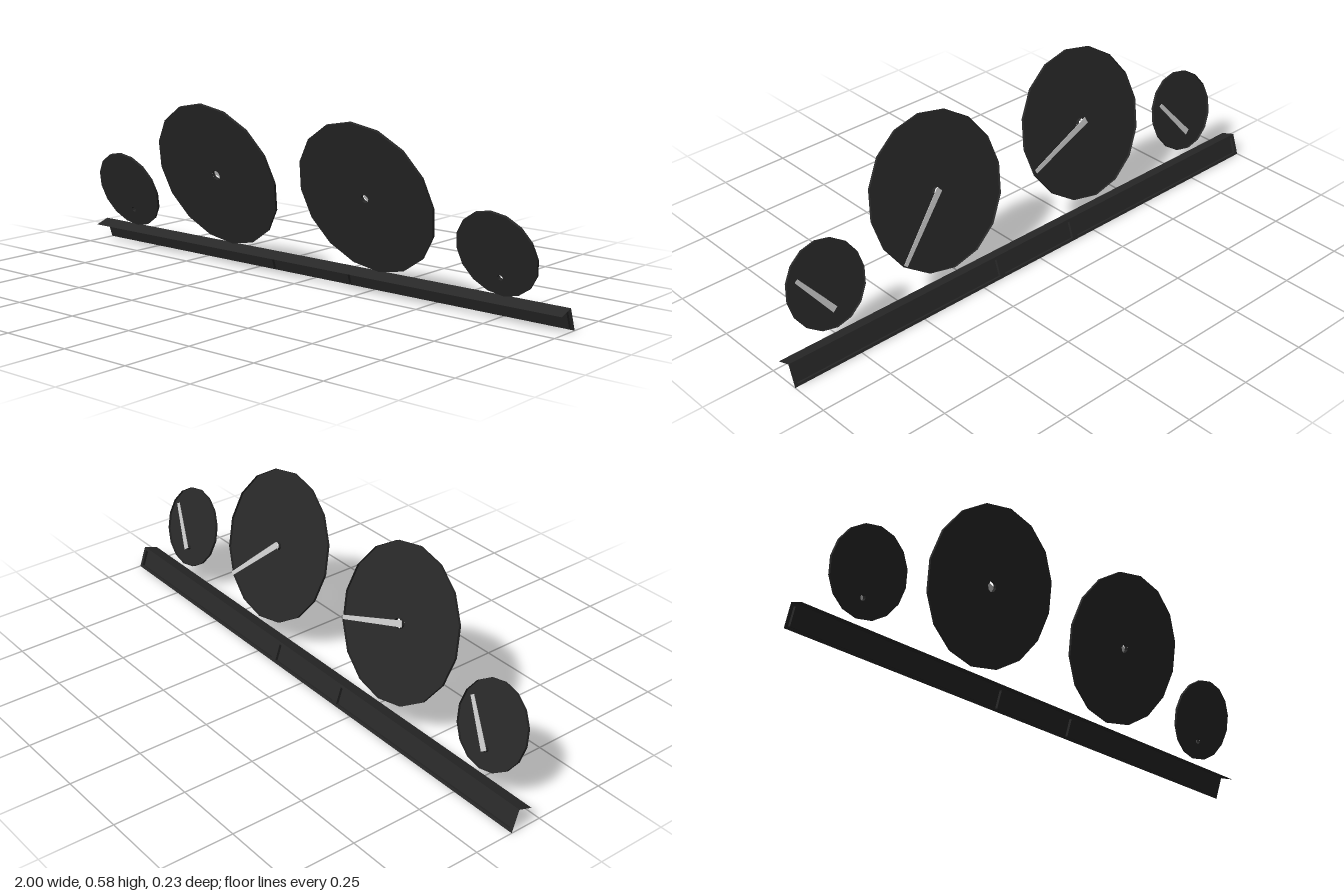
import * as THREE from 'three';

const darkPlastic = new THREE.MeshStandardMaterial({ color: 0x282828, side: THREE.DoubleSide, flatShading: true });
const paleNeedle = new THREE.MeshStandardMaterial({ color: 0xc8c8c8, side: THREE.DoubleSide, flatShading: true });

function add(parent, name, geometry, material = darkPlastic) {
  const mesh = new THREE.Mesh(geometry, material);
  mesh.name = name;
  parent.add(mesh);
  return mesh;
}

function ngon(radius, sides) {
  return Array.from({ length: sides }, (_, i) => {
    const a = (i / sides) * Math.PI * 2;
    return new THREE.Vector2(Math.cos(a) * radius, Math.sin(a) * radius);
  });
}

function rectangle(path, x0, y0, x1, y1) {
  path.moveTo(x0, y0);
  path.lineTo(x1, y0);
  path.lineTo(x1, y1);
  path.lineTo(x0, y1);
  path.closePath();
  return path;
}

// Shallow dish, open towards the back, with a hollow hub and a needle
function gauge({ name, x, y, z, radius, pivot, hole, needle, tail }) {
  const group = new THREE.Group();
  group.name = name;
  group.position.set(x, y, z);
  group.rotation.x = THREE.MathUtils.degToRad(17.6);
  const half = 0.0045;

  const face = new THREE.Shape(ngon(radius, 16));
  face.holes.push(new THREE.Path(ngon(hole, 8).map(p => p.add(new THREE.Vector2(0, pivot)))));
  add(group, 'dialFace', new THREE.ShapeGeometry(face)).position.z = half;

  const rim = new THREE.CylinderGeometry(radius, radius, half * 2, 16, 1, true);
  add(group, 'dialRim', rim.rotateX(Math.PI / 2));

  const hub = new THREE.CylinderGeometry(hole, hole, 0.0125, 8, 1, true);
  add(group, 'needleHub', hub.rotateX(Math.PI / 2)).position.set(0, pivot, -0.0018);

  // Tapered needle
  const length = Math.hypot(...needle);
  const blade = new THREE.Shape([[-tail, -0.011], [length, -0.007], [length, 0.007], [-tail, 0.011]]
    .map(p => new THREE.Vector2(...p)));
  const bar = add(group, 'needle',
    new THREE.ExtrudeGeometry(blade, { depth: 0.002, bevelEnabled: false }), paleNeedle);
  bar.position.set(0, pivot, -0.01);
  bar.rotation.z = Math.atan2(needle[1], needle[0]);
  return group;
}

// Long leaning panel with three recesses and a top flange
function lowerPanel() {
  const group = new THREE.Group();
  group.name = 'lowerPanel';
  group.position.set(0, 0, -0.112);
  group.rotation.x = THREE.MathUtils.degToRad(19);
  const height = 0.078, low = 0.009, high = 0.069, depth = 0.01;
  const frame = rectangle(new THREE.Shape(), -1, 0, 1, height);

  for (const [x0, x1] of [[-0.988, -0.176], [-0.155, 0.155], [0.176, 0.988]]) {
    frame.holes.push(rectangle(new THREE.Path(), x0, low, x1, high));
    // Box without its back face
    const box = new THREE.BoxGeometry(x1 - x0, high - low, depth);
    box.setIndex(Array.from(box.index.array).slice(0, 30));
    box.clearGroups();
    add(group, 'panelRecess', box).position.set((x0 + x1) / 2, (low + high) / 2, depth / 2);
  }
  add(group, 'panelFrame', new THREE.ShapeGeometry(frame));

  const flange = new THREE.PlaneGeometry(2, 0.053).rotateX(-Math.PI / 2);
  add(group, 'topFlange', flange).position.set(0, height, 0.0265);
  return group;
}

export function createModel() {
  const model = new THREE.Group();
  model.name = 'instrumentCluster';
  model.add(lowerPanel());

  const large = { y: 0.333, z: 0.03, radius: 0.262, pivot: 0 };
  const small = { y: 0.22, z: -0.006, radius: 0.143, pivot: -0.079, hole: 0.01, needle: [0.1, 0.133], tail: 0.006 };
  model.add(
    gauge({ ...large, name: 'rightLargeGauge', x: -0.32, hole: 0.018, needle: [0.24, -0.085], tail: 0.02 }),
    gauge({ ...large, name: 'leftLargeGauge', x: 0.32, hole: 0.015, needle: [0.185, -0.18], tail: 0.01 }),
    gauge({ ...small, name: 'rightSmallGauge', x: -0.79 }),
    gauge({ ...small, name: 'leftSmallGauge', x: 0.79 }),
  );
  return model;
}
